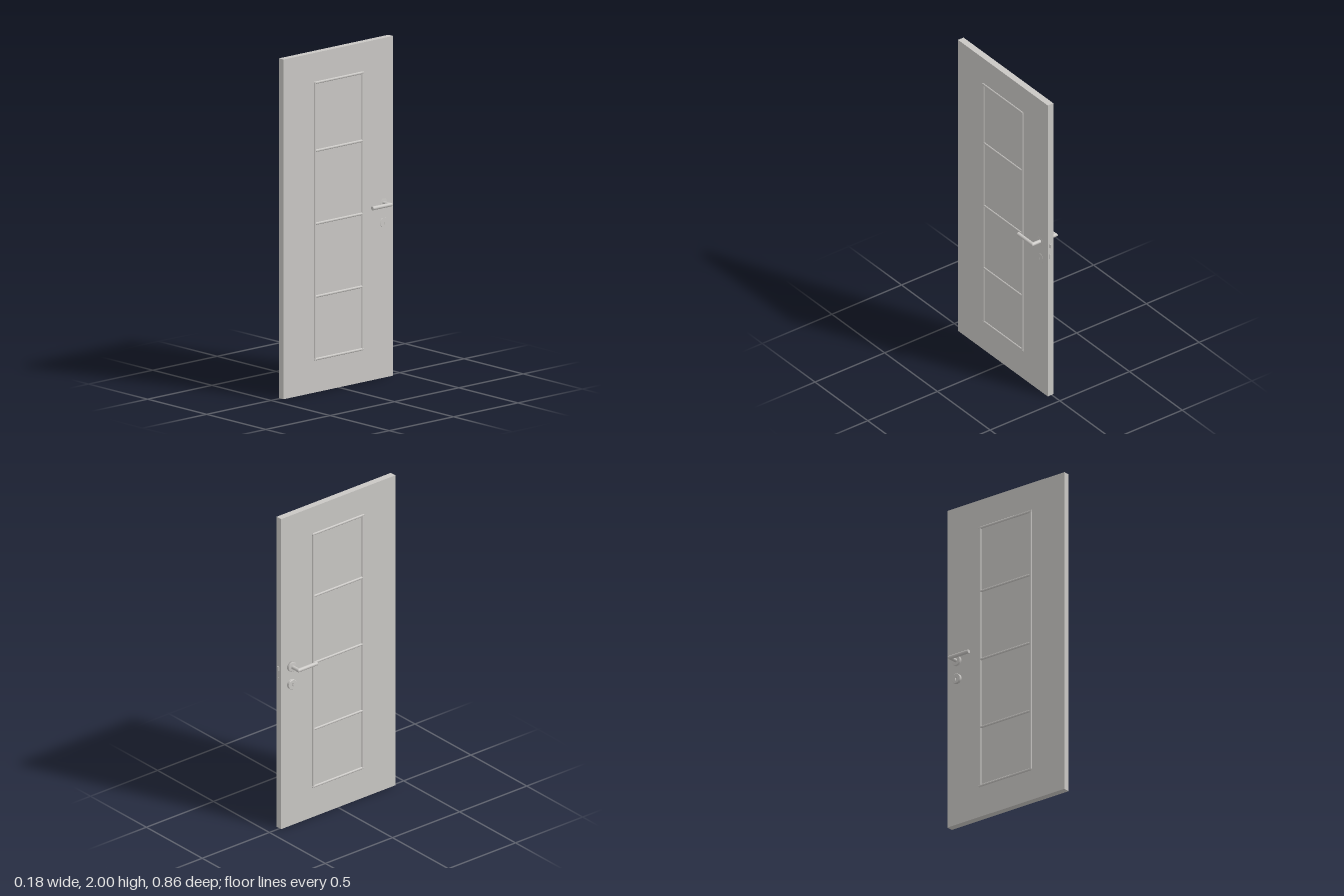
import * as THREE from 'three';

const FACES = { left: 0.028, right: -0.012 }; // x of the two door faces
const HANDLE_Y = 1.028, LOCK_Y = 0.915, LOCK_Z = -0.35;
const LEVER_X = 0.081, ROD = 0.0112;

export function createModel() {
  const door = new THREE.Group();
  door.name = 'door';
  const paint = new THREE.MeshStandardMaterial({ color: 0xc9c7c4 });
  paint.name = 'light grey';

  const add = (name, geometry, x = 0, y = 0, z = 0) => {
    const mesh = new THREE.Mesh(geometry, paint);
    mesh.name = name;
    mesh.position.set(x, y, z);
    door.add(mesh);
    return mesh;
  };

  // Door leaf
  add('leaf', new THREE.BoxGeometry(0.04, 2, 0.851), 0.008, 1, 0.0025);

  // Half-round mouldings on both faces: two stiles and five rails
  const rails = [1.823, 1.4225, 0.993, 0.564, 0.195];
  for (const x of Object.values(FACES)) {
    for (const z of [-0.184, 0.184]) {
      const stile = new THREE.CylinderGeometry(1, 1, 1.64, 16);
      stile.scale(0.006, 1, 0.0075);
      add('mouldingStile', stile, x, 1.009, z);
    }
    rails.forEach((y, i) => {
      const outer = i === 0 || i === rails.length - 1;
      const rail = new THREE.CylinderGeometry(1, 1, outer ? 0.384 : 0.368, 16);
      rail.rotateX(Math.PI / 2);
      rail.scale(0.006, 0.0075, 1);
      add('mouldingRail', rail, x, y, 0);
    });
  }

  // Lever handles: spindle and grip joined by a mitre
  for (const s of [-1, 1]) {
    const spindle = new THREE.CylinderGeometry(ROD, ROD, LEVER_X, 24);
    spindle.rotateZ(-s * Math.PI / 2);
    spindle.translate(s * LEVER_X / 2, 0, LOCK_Z);
    const a = spindle.attributes.position;
    for (let i = 0; i < a.count; i++) {
      if (s * a.getX(i) > 0.05) a.setX(i, s * (LEVER_X - (a.getZ(i) - LOCK_Z)));
    }
    add('handleSpindle', spindle, 0, HANDLE_Y, 0);

    const length = 0.137;
    const grip = new THREE.CylinderGeometry(ROD, ROD, length, 24);
    grip.rotateX(Math.PI / 2);
    grip.translate(s * LEVER_X, 0, LOCK_Z + length / 2);
    const b = grip.attributes.position;
    for (let i = 0; i < b.count; i++) {
      if (b.getZ(i) < -0.3) b.setZ(i, LOCK_Z - (s * b.getX(i) - LEVER_X));
    }
    add('handleGrip', grip, 0, HANDLE_Y, 0);
  }

  // Handle roses: raised on one face, almost flush on the other
  const rose = [[0, 0], [0.03, 0], [0.03, 0.013], [0.027, 0.016], [0, 0.016]]
    .map(([r, h]) => new THREE.Vector2(r, h));
  const roses = [[-1, -0.0135], [1, 0.0128]];
  for (const [s, x] of roses) {
    const geometry = new THREE.LatheGeometry(rose, 40);
    geometry.rotateZ(-s * Math.PI / 2);
    add('handleRose', geometry, x, HANDLE_Y, LOCK_Z);
  }

  // Lock roses with a keyhole
  const disc = new THREE.Shape();
  disc.absarc(0, 0, 0.028, 0, Math.PI * 2);
  const keyhole = new THREE.Path();
  keyhole.absarc(0, 0.005, 0.006, -Math.PI * 0.3, Math.PI * 1.3, false);
  keyhole.lineTo(-0.0035, -0.014);
  keyhole.lineTo(0.0035, -0.014);
  keyhole.closePath();
  disc.holes.push(keyhole);
  for (const [s, x] of roses) {
    const geometry = new THREE.ExtrudeGeometry(disc, {
      depth: 0.014, bevelThickness: 0.002, bevelSize: 0.002, bevelSegments: 1, curveSegments: 32,
    });
    geometry.rotateY(s * Math.PI / 2);
    add('lockRose', geometry, x, LOCK_Y, LOCK_Z);
  }

  // Wedge latch and flat dead bolt on the lock edge
  const wedge = new THREE.Shape([[0, 0], [0.018, 0], [0.012, 0.007], [0.007, 0.007]]
    .map(([x, z]) => new THREE.Vector2(x, z)));
  const latch = new THREE.ExtrudeGeometry(wedge, { depth: 0.024, bevelEnabled: false });
  latch.rotateX(-Math.PI / 2);
  add('latch', latch, 0, HANDLE_Y - 0.012, -0.423);
  add('deadBolt', new THREE.BoxGeometry(0.012, 0.03, 0.004), 0.008, 0.955, -0.4225);

  return door;
}
